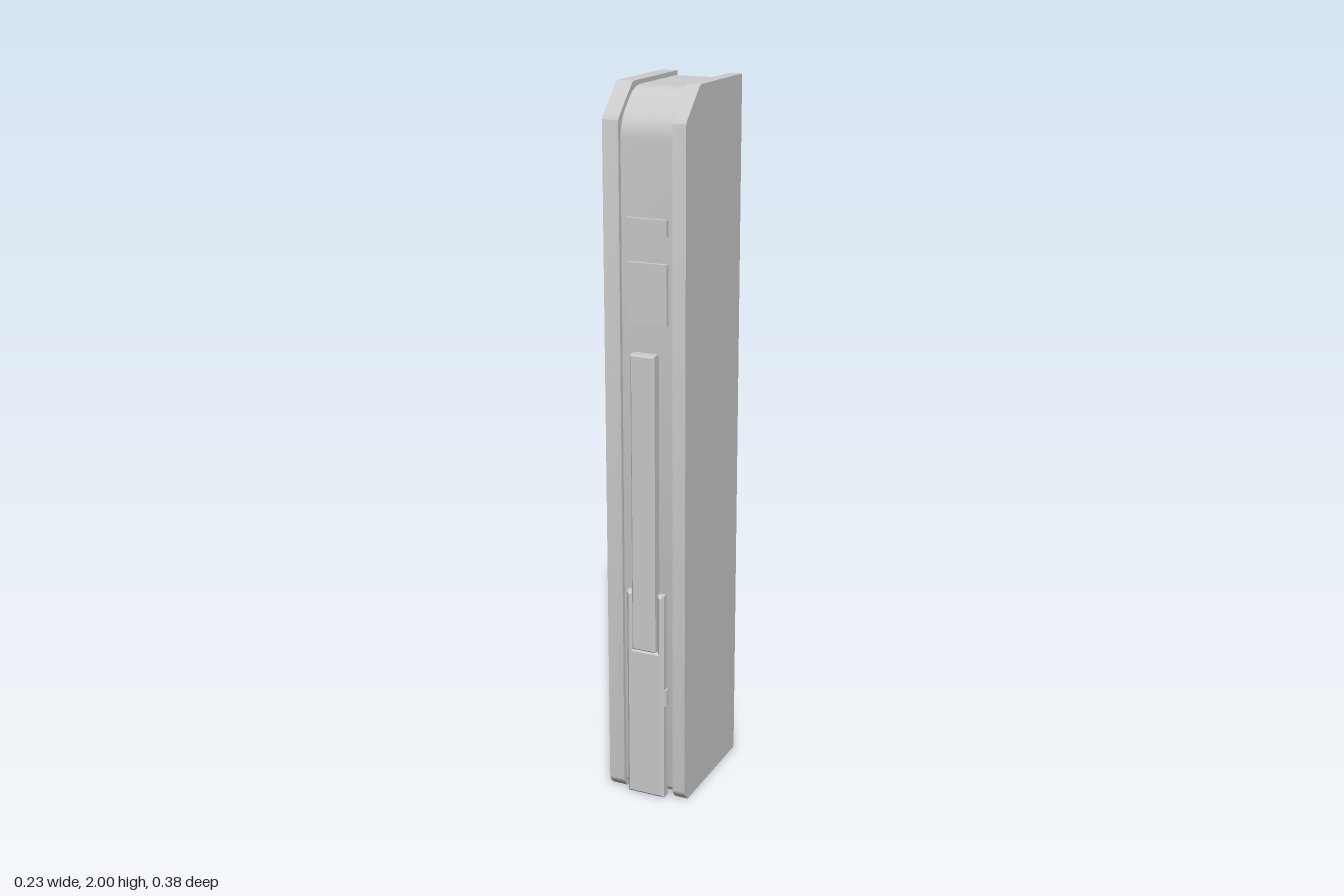
import * as THREE from 'three';
import { toCreasedNormals } from 'three/addons/utils/BufferGeometryUtils.js';

const material = new THREE.MeshStandardMaterial({ color: 0xcccccc });

// Closed outline from [x, y, bend] points; bend > 0 rounds that corner.
function outline(points) {
  const shape = new THREE.Shape();
  const n = points.length;
  points.forEach(([x, y, bend = 0], i) => {
    const p = new THREE.Vector2(x, y);
    const toward = ([a, b]) => new THREE.Vector2(a, b).sub(p).setLength(bend).add(p);
    const start = bend ? toward(points[(i + n - 1) % n]) : p;
    if (i === 0) shape.moveTo(start.x, start.y);
    else shape.lineTo(start.x, start.y);
    if (bend) {
      const end = toward(points[(i + 1) % n]);
      shape.quadraticCurveTo(x, y, end.x, end.y);
    }
  });
  shape.closePath();
  return shape;
}

// Side profile drawn in (z, y), extruded from x0 to x1.
function sideSlab(name, points, x0, x1) {
  const geometry = new THREE.ExtrudeGeometry(outline(points), {
    depth: x1 - x0, bevelEnabled: false, curveSegments: 6,
  });
  geometry.rotateY(-Math.PI / 2).translate(x1, 0, 0);
  const mesh = new THREE.Mesh(toCreasedNormals(geometry, 0.6), material);
  mesh.name = name;
  return mesh;
}

// Raised panel drawn in (x, y) with a chamfered front edge.
function panel(name, points, z0, z1, bevel) {
  const geometry = new THREE.ExtrudeGeometry(outline(points), {
    depth: z1 - z0 - bevel, bevelEnabled: bevel > 0, bevelSize: bevel,
    bevelThickness: bevel, bevelOffset: -bevel, bevelSegments: 1, curveSegments: 4,
  });
  geometry.translate(0, 0, z0);
  const mesh = new THREE.Mesh(toCreasedNormals(geometry, 0.6), material);
  mesh.name = name;
  return mesh;
}

const rect = (x0, x1, y0, y1) => [[x0, y0], [x1, y0], [x1, y1], [x0, y1]];

export function createModel() {
  const group = new THREE.Group();
  group.name = 'slimCase';

  // Two side plates with a sloped top front corner and a small bottom chamfer
  const plate = [
    [-0.19, 0], [0.152, 0, 0.006], [0.172, 0.025, 0.008],
    [0.172, 1.913, 0.012], [0.085, 2, 0.012], [-0.19, 2],
  ];
  group.add(sideSlab('rightPlate', plate, -0.118, -0.072));
  group.add(sideSlab('leftPlate', plate, 0.08, 0.117));

  // Recessed core between the plates
  const core = [
    [-0.178, 0.012], [0.142, 0.012, 0.006], [0.159, 0.03, 0.008],
    [0.159, 1.905, 0.04], [0.078, 1.988, 0.04], [-0.178, 1.988],
  ];
  group.add(sideSlab('core', core, -0.073, 0.081));

  // Front buttons
  group.add(panel('smallButton', rect(-0.053, 0.062, 1.62, 1.664), 0.15, 0.17, 0));
  group.add(panel('largeButton', rect(-0.053, 0.062, 1.385, 1.548), 0.15, 0.17, 0));

  // Lower sleeve, notched at the top to receive the slider
  group.add(panel('sleeve', [
    [-0.057, 0.002], [0.055, 0.002], [0.055, 0.625], [0.036, 0.625],
    [0.036, 0.453], [-0.036, 0.453], [-0.036, 0.625], [-0.057, 0.625],
  ], 0.15, 0.182, 0.007));

  // Long slider bar
  group.add(panel('slider', rect(-0.036, 0.034, 0.455, 1.305), 0.15, 0.19, 0.004));

  // Small catch on the side of the sleeve
  group.add(panel('catch', rect(0.05, 0.062, 0.29, 0.34), 0.15, 0.174, 0));

  return group;
}
